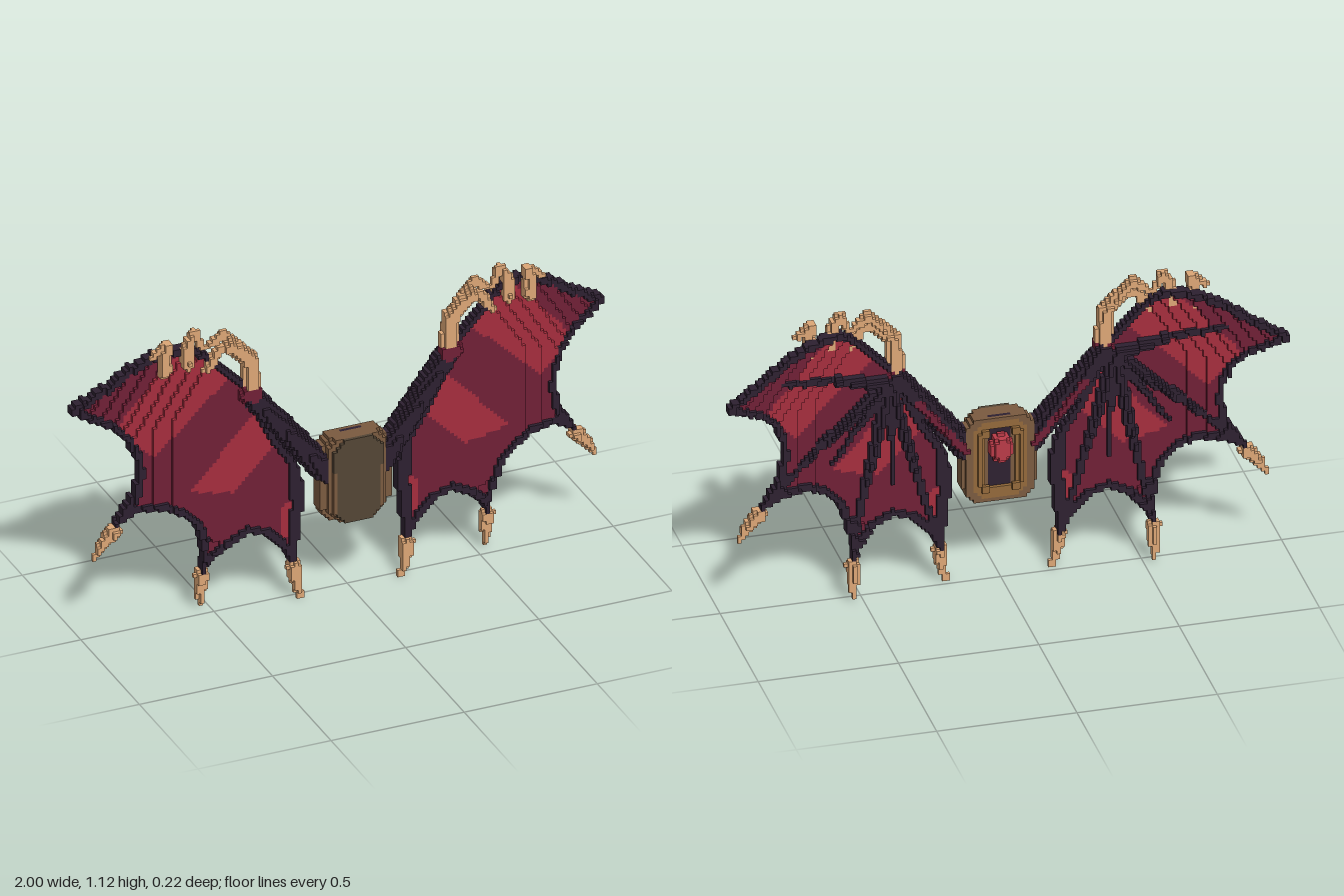
import * as THREE from 'three';

const V = 1 / 74; // edge of one cube
const mat = (name, color) => new THREE.MeshStandardMaterial({ name, color });

export function createModel() {
  const M = {
    dark: mat('dark bone', 0x2d2030),
    maroon: mat('maroon membrane', 0x701f36),
    red: mat('red membrane', 0xa52d3d),
    tan: mat('claw tan', 0xdca676),
    brown: mat('pack brown', 0x7a5a3f),
    panel: mat('front panel olive', 0x534535),
    gold: mat('trim gold', 0x93693a),
    gem: mat('gem red', 0xb93b48),
  };

  // Cubes are kept in a map; a later cube replaces an earlier one.
  const cells = new Map();
  const key = (i, j, k) => `${i},${j},${k}`;
  const put = (name, m, i, j, k) => {
    if (j >= 0) cells.set(key(i, j, k), { name, m, i, j, k });
  };
  const both = (name, m, i, j, k) => {
    put(`left ${name}`, m, i, j, k);
    put(`right ${name}`, m, -1 - i, j, k);
  };

  const nearSegment = (p, a, b) => {
    const ab = b.map((v, n) => v - a[n]);
    const len = ab.reduce((s, v) => s + v * v, 0);
    const t = Math.min(1, Math.max(0, ab.reduce((s, v, n) => s + v * (p[n] - a[n]), 0) / len));
    return { t, d: Math.hypot(...ab.map((v, n) => p[n] - a[n] - v * t)) };
  };
  const inside = (x, y, poly) => {
    let hit = false;
    poly.forEach(([ax, ay], n) => {
      const [bx, by] = poly[(n + 1) % poly.length];
      if ((ay > y) !== (by > y) && x < ((bx - ax) * (y - ay)) / (by - ay) + ax) hit = !hit;
    });
    return hit;
  };

  // Wing sheet: flat in the middle, bent back at the lower rim, swept back diagonally to the tip
  const wingK = (x, y) => {
    const rim = 0.3 * Math.max(0, 0.5 * x - 0.87 * y + 0.04) + 0.2 * Math.max(0, x - 0.6);
    const sweep = 0.32 * (0.84 * x + 0.54 * y - 0.94);
    return Math.round((0.02 - Math.max(Math.min(rim, 0.045), sweep)) / V);
  };
  const outline = [
    [0.37, 0.87], [0.46, 0.955], [0.54, 1.035], [0.6, 1.06], [0.7, 1.04], [0.78, 1.005], [0.87, 0.94], [1.015, 0.85],
    [0.93, 0.81], [0.87, 0.78], [0.82, 0.73], [0.79, 0.66], [0.785, 0.59], [0.8, 0.52], [0.87, 0.4],
    [0.79, 0.445], [0.7, 0.45], [0.63, 0.42], [0.575, 0.36], [0.55, 0.28], [0.535, 0.15],
    [0.495, 0.22], [0.45, 0.265], [0.38, 0.295], [0.32, 0.275], [0.27, 0.23], [0.21, 0.13],
    [0.185, 0.3], [0.175, 0.43], [0.2, 0.53], [0.26, 0.62], [0.33, 0.76],
  ];
  const bands = [
    [[0.605, 1.06], [0.52, 1.03], [0.44, 0.93], [0.6, 0.79], [0.73, 0.66], [0.86, 0.77]],
    [[0.33, 0.79], [0.25, 0.645], [0.44, 0.465], [0.6, 0.5]],
    [[0.21, 0.24], [0.25, 0.24], [0.26, 0.36], [0.21, 0.39]],
  ];
  const leadingEdge = [[0.215, 0.14], [0.195, 0.36], [0.2, 0.52], [0.34, 0.82]];
  for (let i = 12; i < 74; i++) for (let j = 8; j < 80; j++) {
    const x = (i + 0.5) * V, y = (j + 0.5) * V, k = wingK(x, y);
    if (!inside(x, y, outline)) continue;
    const edge = outline.some((a, n) => nearSegment([x, y], a, outline[(n + 1) % outline.length]).d < 0.024)
      || leadingEdge.some((a, n) => n < 3 && nearSegment([x, y], a, leadingEdge[n + 1]).d < 0.027);
    if (edge) for (let d = -1; d <= 1; d++) both('wing border', M.dark, i, j, k + d);
    else if (bands.some((b) => inside(x, y, b))) both('wing stripes', M.red, i, j, k);
    else both('wing membrane', M.maroon, i, j, k);
  }

  // Slim finger bones fanning out over the back of each wing
  const wrist = [0.4, 0.82];
  const fingers = [
    [0.79, 0.9, 0.023], [0.85, 0.43, 0.023], [0.6, 0.53, 0.015],
    [0.535, 0.18, 0.024], [0.38, 0.42, 0.015], [0.23, 0.2, 0.023],
  ];
  for (let i = 12; i < 70; i++) for (let j = 10; j < 78; j++) {
    const x = (i + 0.5) * V, y = (j + 0.5) * V;
    fingers.forEach(([fx, fy, r]) => {
      const { t, d } = nearSegment([x, y], wrist, [fx, fy]);
      const rise = r * (1 - 0.6 * t) - d;
      const layers = t < 0.5 ? 2 : 1;
      if (rise > 0) for (let n = 1; n <= layers + Math.floor(rise / V); n++) both('finger bones', M.dark, i, j, wingK(x, y) - n);
    });
  }

  // Tapered rod of cubes along a path of points
  const rod = (name, m, path, r0, r1) => path.slice(1).forEach((b, s) => {
    const a = path[s], n = path.length - 1;
    const lo = a.map((v, q) => Math.floor((Math.min(v, b[q]) - r0) / V) - 1);
    const hi = a.map((v, q) => Math.ceil((Math.max(v, b[q]) + r0) / V) + 1);
    for (let i = lo[0]; i <= hi[0]; i++) for (let j = lo[1]; j <= hi[1]; j++) for (let k = lo[2]; k <= hi[2]; k++) {
      const { t, d } = nearSegment([(i + 0.5) * V, (j + 0.5) * V, k * V], a, b);
      if (d < r0 + ((r1 - r0) * (s + t)) / n) both(name, m, i, j, k);
    }
  });

  // Arms from the pack to the wrists, with a membrane strip behind
  rod('arm', M.dark, [[0.1, 0.49, 0.048], [0.37, 0.83, 0.012]], 0.046, 0.036);
  rod('arm strip', M.maroon, [[0.12, 0.505, 0.008], [0.3, 0.735, -0.01]], 0.014, 0.014);

  // Claws at the lower points
  rod('inner claw', M.tan, [[0.212, 0.125, 0.022], [0.207, 0.07, 0.028], [0.19, 0.008, 0.028]], 0.026, 0.01);
  rod('middle claw', M.tan, [[0.536, 0.135, -0.03], [0.536, 0.085, -0.037], [0.534, 0.022, -0.037]], 0.026, 0.01);
  rod('outer claw', M.tan, [[0.868, 0.385, -0.022], [0.905, 0.35, -0.025], [0.938, 0.292, -0.025]], 0.026, 0.01);

  // Hooked claws along the top edge
  rod('thumb claw', M.tan, [[0.37, 0.88, 0.02], [0.378, 0.98, 0.025], [0.45, 1.045, 0.025], [0.49, 1.04, 0.02], [0.535, 0.97, 0.015]], 0.031, 0.014);
  rod('thumb spur', M.tan, [[0.41, 1.02, 0.02], [0.47, 1.09, 0.01], [0.52, 1.055, 0.005]], 0.02, 0.011);
  rod('second top claw', M.tan, [[0.605, 1.0, 0.005], [0.6, 1.07, 0], [0.575, 1.11, -0.003], [0.545, 1.045, 0]], 0.023, 0.012);
  rod('third top claw', M.tan, [[0.685, 0.985, -0.005], [0.685, 1.05, 0], [0.675, 1.085, 0], [0.73, 1.05, -0.005]], 0.025, 0.011);
  rod('wrist cuff', M.maroon, [[0.36, 0.84, 0.025], [0.39, 0.845, 0.025]], 0.029, 0.029);

  // Pack: chamfered box, wider towards the back, with a gold ring around a recessed back
  for (let i = -11; i < 11; i++) for (let j = 22; j < 46; j++) for (let k = 1; k <= 7; k++) {
    const x = Math.abs((i + 0.5) * V), y = (j + 0.5) * V;
    const ay = Math.abs(y - 0.46);
    const w = k === 7 ? 0.09 : k > 4 ? 0.105 : 0.12;
    const body = x < w && ay < 0.163 && x + ay < w + 0.125;
    const bulge = x < 0.138 && y > 0.35 && y < 0.51 && k > 1 && k < 6;
    if (!body && !bulge) continue;
    const ring = x > 0.055 || ay > 0.115 || x + ay > 0.15;
    const rim = x > 0.095 || ay > 0.145 || x + ay > 0.21;
    if (k === 7 && (x < 0.08 || y > 0.5)) put('pack front panel', M.panel, i, j, k);
    else if (k > 2 || (k === 2 && x > 0.04)) put('pack body', M.brown, i, j, k);
    else if (k === 2) put('pack back panel', M.dark, i, j, k);
    else if (rim) put('pack back rim', M.brown, i, j, k);
    else if (ring) put('pack back trim', M.gold, i, j, k);
  }

  // Trim posts, corner studs and gem on the back of the pack
  for (let j = 27; j < 42; j++) both('pack back posts', M.gold, 5, j, 0);
  for (const j of [25, 26, 41, 42]) for (const i of [3, 4]) both('pack corner studs', M.gold, i, j, 0);
  for (let i = -3; i < 3; i++) for (let j = 33; j < 43; j++) for (let k = -2; k <= 1; k++) {
    const d = Math.hypot((i + 0.5) * V, ((j + 0.5) * V - 0.51) * 0.75, k * V);
    if (d < 0.04) put('gem', M.gem, i, j, k);
  }

  // Turn the exposed cube faces into one mesh per part and colour
  const batches = new Map();
  for (const { name, m, i, j, k } of cells.values()) {
    const id = `${name}|${m.name}`;
    if (!batches.has(id)) batches.set(id, { name, m, pos: [], nor: [] });
    const { pos, nor } = batches.get(id);
    const centre = [(i + 0.5) * V, (j + 0.5) * V, k * V];
    for (let axis = 0; axis < 3; axis++) for (const side of [1, -1]) {
      const n = [0, 0, 0];
      n[axis] = side;
      if (cells.has(key(i + n[0], j + n[1], k + n[2]))) continue;
      const u = (axis + 1) % 3, w = (axis + 2) % 3;
      const quad = [[-1, -1], [1, -1], [1, 1], [-1, 1]].map(([a, b]) => {
        const p = [...centre];
        p[axis] += (side * V) / 2;
        p[u] += (a * side * V) / 2;
        p[w] += (b * V) / 2;
        return p;
      });
      for (const c of [0, 1, 2, 0, 2, 3]) {
        pos.push(...quad[c]);
        nor.push(...n);
      }
    }
  }
  const group = new THREE.Group();
  group.name = 'bat wing pack';
  for (const { name, m, pos, nor } of batches.values()) {
    const g = new THREE.BufferGeometry();
    g.setAttribute('position', new THREE.Float32BufferAttribute(pos, 3));
    g.setAttribute('normal', new THREE.Float32BufferAttribute(nor, 3));
    const mesh = new THREE.Mesh(g, m);
    mesh.name = name;
    group.add(mesh);
  }
  return group;
}
